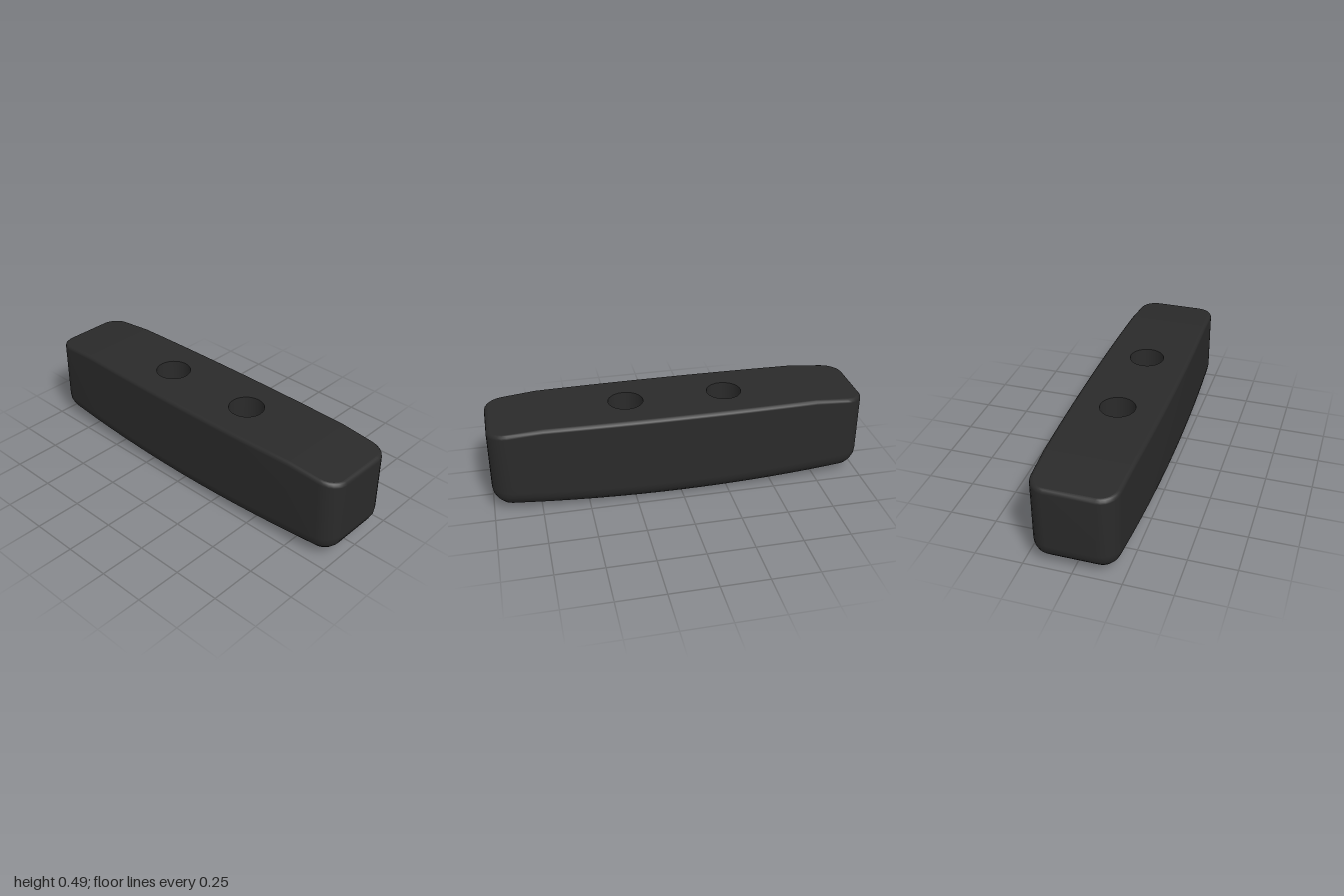
import * as THREE from 'three';

const HALF_LENGTH = 1, HALF_WIDTH = 0.24, CORNER = 0.1, FLAT = 0.72;
const TOP_BEVEL = 0.02, BOTTOM_BEVEL = 0.095;
const HOLES = [-0.27, 0.265], HOLE_RADIUS = 0.093, HOLE_DEPTH = 0.25;

// the top slopes down gently near both ends, the bottom bows upward
const topY = (x) => 0.487 - 0.022 * Math.max(0, (Math.abs(x) - FLAT) / (1 - FLAT));
const bottomY = (x) => 0.042 * x * x;
const bow = (x) => 1 - 0.1 * x * x;

// rounded plan outline with bowed long sides, pulled in by an inset
function outline(inset) {
  const points = [];
  const signs = [[1, 1], [-1, 1], [-1, -1], [1, -1]];
  signs.forEach(([sx, sz], corner) => {
    for (let i = 0; i <= 6; i++) {
      const a = (corner + i / 6) * Math.PI / 2;
      const x = sx * (HALF_LENGTH - CORNER) + (CORNER - inset) * Math.cos(a);
      const z = sz * (HALF_WIDTH - CORNER) + (CORNER - inset) * Math.sin(a);
      points.push(new THREE.Vector2(x, z * bow(x)));
    }
    if (corner % 2 === 0) {
      for (let i = 0; i <= 12; i++) {
        const x = sx * FLAT * (1 - i / 6);
        points.push(new THREE.Vector2(x, sz * (HALF_WIDTH - inset) * bow(x)));
      }
    }
  });
  return points;
}

// loft through the top bevel, the walls, the bottom bevel and the underside
function shellGeometry() {
  const rings = [];
  const addRing = (inset, height, flatten = 1) =>
    rings.push(outline(inset).map((p) => [p.x, height(p.x), p.y * flatten]));
  for (let i = 0; i <= 3; i++) {
    const a = i / 3 * Math.PI / 2;
    addRing(TOP_BEVEL * (1 - Math.sin(a)), (x) => topY(x) - TOP_BEVEL * (1 - Math.cos(a)));
  }
  for (let i = 0; i <= 5; i++) {
    const a = i / 5 * Math.PI / 2;
    addRing(BOTTOM_BEVEL * (1 - Math.cos(a)), (x) => bottomY(x) + BOTTOM_BEVEL * (1 - Math.sin(a)));
  }
  addRing(BOTTOM_BEVEL, bottomY, 0);

  const n = rings[0].length, index = [];
  for (let k = 0; k < rings.length - 1; k++) {
    for (let i = 0; i < n; i++) {
      const j = (i + 1) % n;
      const a = k * n + i, b = k * n + j, c = a + n, d = b + n;
      index.push(a, b, c, b, d, c);
    }
  }
  const geometry = new THREE.BufferGeometry();
  geometry.setAttribute('position', new THREE.Float32BufferAttribute(rings.flat(2), 3));
  geometry.setIndex(index);
  geometry.computeVertexNormals();
  return geometry;
}

// one section of the top face, laid flat and then set to the top height
function topGeometry(keep, holes = []) {
  const shape = new THREE.Shape(outline(TOP_BEVEL).filter((p) => keep(p.x)));
  for (const x of holes) {
    shape.holes.push(new THREE.Path().absarc(x, 0, HOLE_RADIUS, 0, Math.PI * 2, true));
  }
  const geometry = new THREE.ShapeGeometry(shape, 16);
  geometry.rotateX(-Math.PI / 2);
  const position = geometry.attributes.position;
  for (let i = 0; i < position.count; i++) position.setY(i, topY(position.getX(i)));
  geometry.computeVertexNormals();
  return geometry;
}

export function createModel() {
  const group = new THREE.Group();
  group.name = 'bar';
  const black = new THREE.MeshStandardMaterial({ color: 0x2a2a2a, side: THREE.DoubleSide });
  black.name = 'charcoal';

  const add = (name, geometry) => {
    const mesh = new THREE.Mesh(geometry, black);
    mesh.name = name;
    group.add(mesh);
    return mesh;
  };

  add('body', shellGeometry());
  const e = 1e-6;
  add('topMiddle', topGeometry((x) => Math.abs(x) <= FLAT + e, HOLES));
  add('topLeft', topGeometry((x) => x >= FLAT - e));
  add('topRight', topGeometry((x) => x <= -FLAT + e));

  // blind round holes: wall, then floor
  for (const x of HOLES) {
    const y = topY(x);
    const profile = [[HOLE_RADIUS, y], [HOLE_RADIUS, y - HOLE_DEPTH]];
    const wall = new THREE.LatheGeometry(profile.map((p) => new THREE.Vector2(...p)), 32);
    add('holeWall', wall).position.x = x;
    const floor = add('holeFloor', new THREE.CircleGeometry(HOLE_RADIUS, 32).rotateX(-Math.PI / 2));
    floor.position.set(x, y - HOLE_DEPTH, 0);
  }
  return group;
}
